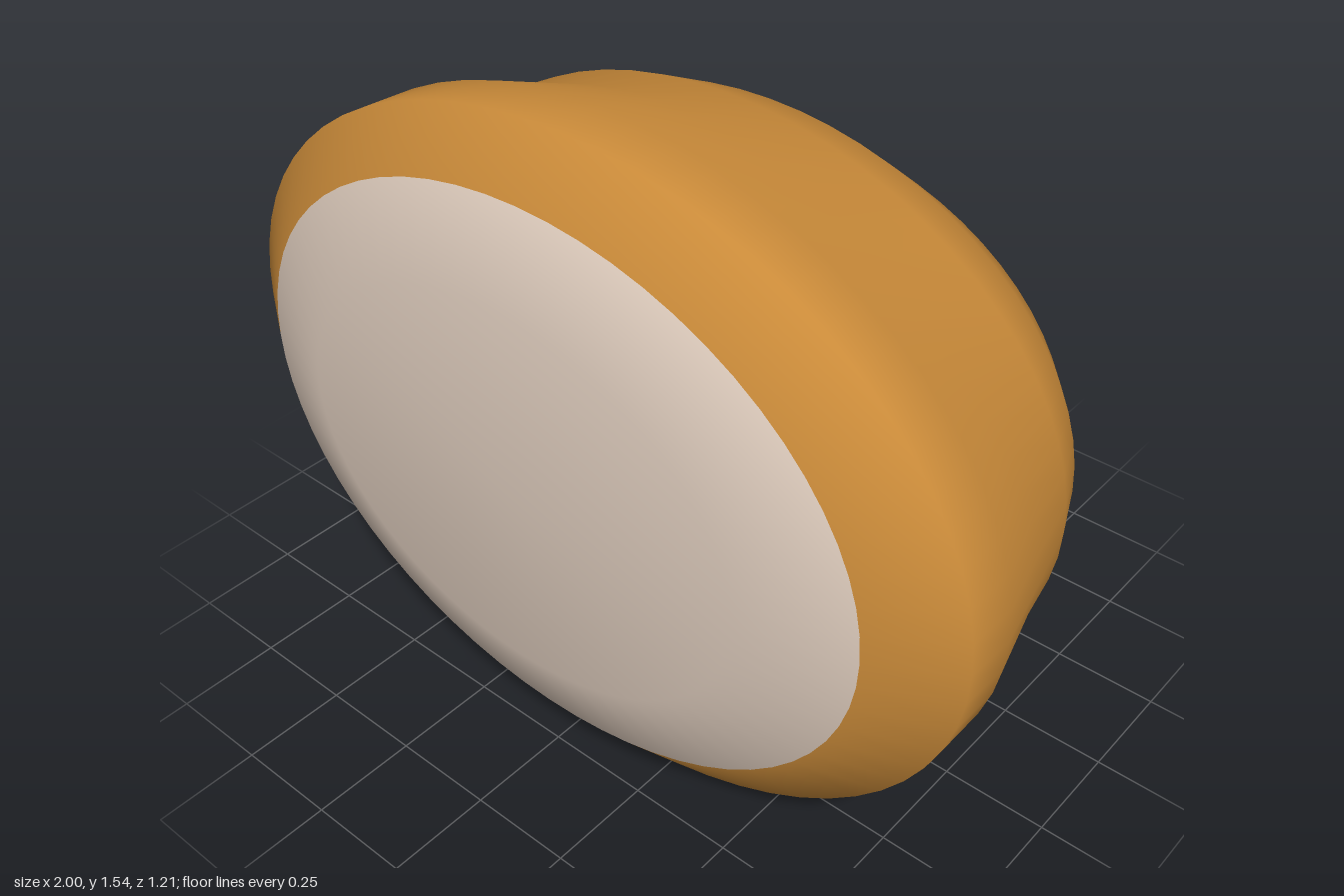
import * as THREE from 'three';

const SEGMENTS = 64;

// Cross-sections from front to back: z, centre height, half width, half height,
// roundness exponent (2 = ellipse, lower = pinched on the diagonals)
const RINGS = [
  [0.6, 0.795, 0.59, 0.445, 2],
  [0.52, 0.787, 0.83, 0.643, 2],
  [0.41, 0.78, 1, 0.765, 2],
  [0.28, 0.775, 1, 0.77, 1.96],
  [0.11, 0.76, 0.955, 0.735, 1.75],
  [-0.09, 0.742, 0.9, 0.698, 2],
  [-0.24, 0.725, 0.835, 0.645, 2],
  [-0.43, 0.675, 0.705, 0.545, 2],
  [-0.51, 0.625, 0.56, 0.445, 2],
  [-0.575, 0.525, 0.35, 0.265, 2],
  [-0.58, 0.48, 0.315, 0.215, 2],
  [-0.55, 0.432, 0.275, 0.167, 2],
];

// Smooth skin lofted through the rings; group 0 is the pale front, group 1 the coat
function bodyGeometry() {
  const positions = [];
  const index = [];
  for (const [z, cy, rx, ry, p] of RINGS) {
    for (let j = 0; j < SEGMENTS; j++) {
      const t = (j / SEGMENTS) * Math.PI * 2;
      const c = Math.cos(t);
      const s = Math.sin(t);
      const k = (Math.abs(c) ** p + Math.abs(s) ** p) ** (-1 / p);
      positions.push(rx * c * k, cy + ry * s * k, z);
    }
  }
  const centre = positions.length / 3;
  positions.push(0, RINGS[0][1], RINGS[0][0]);

  for (let j = 0; j < SEGMENTS; j++) index.push(centre, j, (j + 1) % SEGMENTS);
  let paleCount = 0;
  for (let i = 0; i < RINGS.length - 1; i++) {
    for (let j = 0; j < SEGMENTS; j++) {
      const n = (j + 1) % SEGMENTS;
      const a = i * SEGMENTS + j;
      const b = i * SEGMENTS + n;
      const c = a + SEGMENTS;
      const d = b + SEGMENTS;
      index.push(a, c, b, b, c, d);
    }
    if (i === 0) paleCount = index.length;
  }
  const geometry = new THREE.BufferGeometry();
  geometry.setAttribute('position', new THREE.Float32BufferAttribute(positions, 3));
  geometry.setIndex(index);
  geometry.addGroup(0, paleCount, 0);
  geometry.addGroup(paleCount, index.length - paleCount, 1);
  geometry.computeVertexNormals();
  return geometry;
}

export function createModel() {
  const model = new THREE.Group();
  model.name = 'roundHead';

  const coat = new THREE.MeshStandardMaterial({ color: 0xc98a39 });
  coat.name = 'golden brown';
  const pale = new THREE.MeshStandardMaterial({ color: 0xdccabb });
  pale.name = 'pale beige';
  const black = new THREE.MeshStandardMaterial({ color: 0x0c0c0c });
  black.name = 'black';

  const body = new THREE.Mesh(bodyGeometry(), [pale, coat]);
  body.name = 'body';
  model.add(body);

  // Flat oval set into the face, crisp at its edge
  const [z, cy, rx, ry] = RINGS[RINGS.length - 1];
  const muzzle = new THREE.Mesh(new THREE.CircleGeometry(1, SEGMENTS), coat);
  muzzle.name = 'muzzle';
  muzzle.scale.set(rx, ry, 1);
  muzzle.rotation.y = Math.PI;
  muzzle.position.set(0, cy, z);
  model.add(muzzle);

  // Button eyes
  const eyeGeometry = new THREE.SphereGeometry(1, 24, 16);
  for (const side of [-1, 1]) {
    const eye = new THREE.Mesh(eyeGeometry, black);
    eye.name = side > 0 ? 'leftEye' : 'rightEye';
    eye.scale.set(0.048, 0.048, 0.04);
    eye.position.set(side * 0.35, 0.64, -0.565);
    model.add(eye);
  }
  return model;
}
